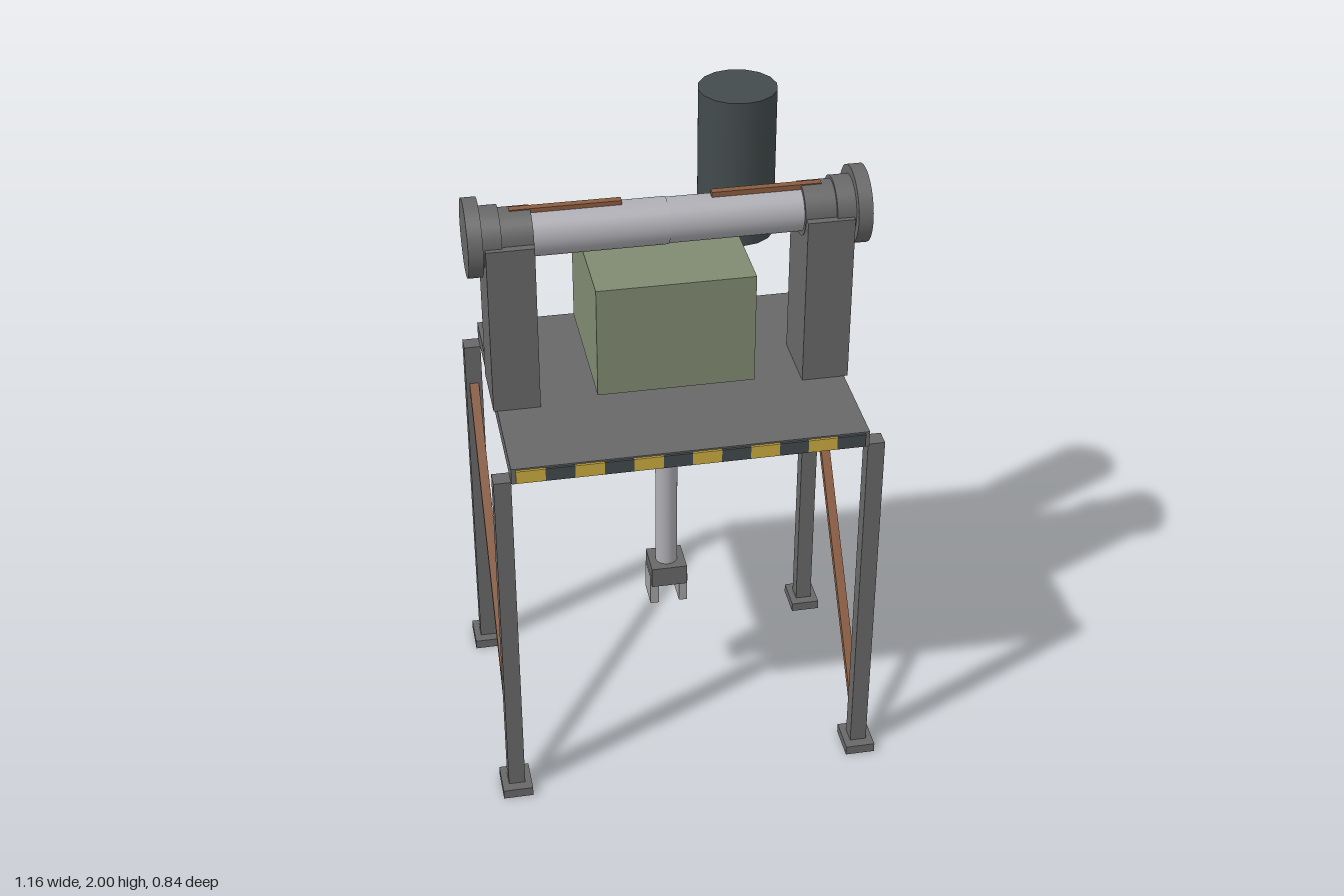
import * as THREE from 'three';

export function createModel() {
  const root = new THREE.Group();
  root.name = 'pressStand';

  const mat = (name, color) => {
    const m = new THREE.MeshStandardMaterial({ color });
    m.name = name;
    return m;
  };
  const steel = mat('dark steel', 0x686868);
  const chrome = mat('chrome', 0xaeaeb4);
  const grip = mat('light steel', 0xa2a2a2);
  const green = mat('machine green', 0x808b72);
  const charcoal = mat('charcoal', 0x434b4d);
  const yellow = mat('warning yellow', 0xcbab40);
  const copper = mat('copper brown', 0x8a5c40);

  const add = (name, geometry, material, x, y, z) => {
    const mesh = new THREE.Mesh(geometry, material);
    mesh.name = name;
    mesh.position.set(x, y, z);
    root.add(mesh);
    return mesh;
  };
  const box = (name, material, w, h, d, x, y, z) =>
    add(name, new THREE.BoxGeometry(w, h, d), material, x, y, z);
  // Cylinder lying along x between x0 and x1
  const axleY = 1.717;
  const roller = (name, material, r, x0, x1, sides = 32) => {
    const g = new THREE.CylinderGeometry(r, r, Math.abs(x1 - x0), sides);
    g.rotateZ(Math.PI / 2);
    return add(name, g, material, (x0 + x1) / 2, axleY, 0);
  };

  // Table top
  box('deck', steel, 1.025, 0.05, 0.8, 0, 1.175, 0);

  // Hazard stripes along the front edge
  const stripes = 12;
  for (let i = 0; i < stripes; i++) {
    const w = 1 / stripes;
    box('hazardStripe', i % 2 ? charcoal : yellow, w, 0.04, 0.008,
      -0.5 + w * (i + 0.5), 1.175, 0.403);
  }

  for (const s of [-1, 1]) {
    // Legs and feet
    for (const f of [-1, 1]) {
      box('leg', steel, 0.05, 1.12, 0.05, s * 0.537, 0.59, f * 0.365);
      box('foot', steel, 0.09, 0.03, 0.11, s * 0.537, 0.015, f * 0.365);
    }

    // Diagonal side brace, low at the front and high at the back
    const dz = -0.71, dy = 0.94;
    const brace = box('sideBrace', copper, 0.028, Math.hypot(dz, dy), 0.024,
      s * 0.537, 0.55, 0);
    brace.rotation.x = Math.atan2(dz, dy);

    // Upright with bearing, collar and end flange
    box('upright', steel, 0.137, 0.52, 0.203, s * 0.455, 1.46, 0);
    roller('bearing', steel, 0.078, s * 0.385, s * 0.475);
    roller('collar', steel, 0.087, s * 0.475, s * 0.53);
    roller('endFlange', steel, 0.113, s * 0.53, s * 0.572);

    // Strip along the top of the tube
    box('tubeStrip', copper, 0.316, 0.02, 0.022, s * 0.286, 1.787, 0);

    // Gripper finger
    box('gripperFinger', grip, 0.026, 0.1, 0.09, s * 0.045, 0.44, 0);
  }

  // Cross tube in two halves of slightly different thickness
  roller('leftTube', chrome, 0.0655, 0, 0.5);
  roller('rightTube', chrome, 0.068, -0.5, 0);

  // Machine housing and upright motor
  box('housing', green, 0.458, 0.342, 0.457, 0, 1.429, -0.069);
  add('motor', new THREE.CylinderGeometry(0.115, 0.115, 0.456, 16), charcoal,
    0.25, 1.772, -0.23);

  // Hanging rod and gripper head
  add('rod', new THREE.CylinderGeometry(0.034, 0.034, 0.66, 16), chrome, 0, 0.83, 0);
  box('gripperHead', steel, 0.11, 0.067, 0.11, 0, 0.494, 0);

  return root;
}
